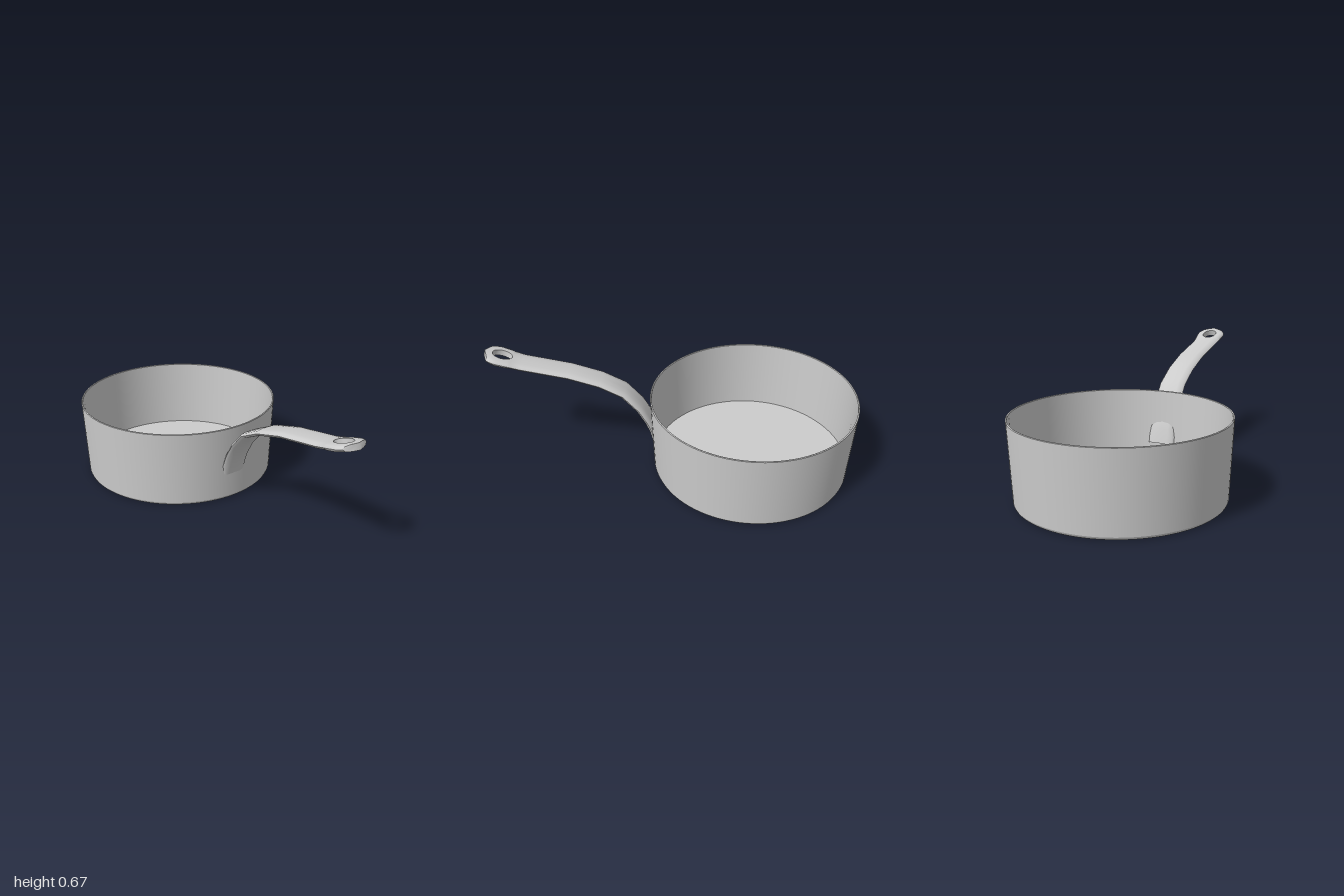
import * as THREE from 'three';
import { toCreasedNormals } from 'three/addons/utils/BufferGeometryUtils.js';

const steel = new THREE.MeshStandardMaterial({ color: 0xcccccc });
steel.name = 'steel';

const PAN_Z = -0.44;

function lathePart(name, points) {
  const geometry = new THREE.LatheGeometry(points.map(([r, y]) => new THREE.Vector2(r, y)), 96);
  const mesh = new THREE.Mesh(geometry, steel);
  mesh.name = name;
  mesh.position.z = PAN_Z;
  return mesh;
}

// Stations along the handle: z, y, inner and outer half width, and how far the edges fall back
function handleRows() {
  const rows = [
    [0.085, 0.135], [0.106, 0.215], [0.13, 0.275], [0.177, 0.355],
    [0.262, 0.447], [0.385, 0.508], [0.55, 0.556], [0.8, 0.6],
  ].map(([z, y]) => ({ z, y, xi: 0, xo: 0.075, back: 0 }));
  const straightY = (z) => 0.6 + 0.28 * (z - 0.8);

  // The hanging hole opens and closes over these stations
  const steps = 12;
  for (let i = 0; i <= steps; i++) {
    const a = (Math.PI * i) / steps;
    const z = 0.908 - 0.052 * Math.cos(a);
    const xo = z < 0.93 ? 0.075 + (0.01 * (z - 0.8)) / 0.13 : 0.085 - 0.2 * (z - 0.93);
    const xi = i % steps === 0 ? 0 : 0.04 * Math.sin(a);
    rows.push({ z, y: straightY(z), xi, xo, back: 0 });
  }
  // Pointed tip
  rows.push({ z: 1, y: 0.656, xi: 0, xo: 0.073, back: 0.032 });
  return rows;
}

function handleGeometry() {
  const rows = handleRows();
  // Half section: fraction across the width, height above the centre line
  const section = [[0, 0.017], [0.5, 0.016], [0.86, 0.012], [1, 0], [0.86, -0.012], [0.5, -0.016], [0, -0.017]];
  const n = section.length;
  const positions = [];
  const index = [];

  for (const side of [1, -1]) {
    const base = positions.length / 3;
    const tri = (a, b, c) => index.push(base + a, base + (side > 0 ? b : c), base + (side > 0 ? c : b));

    rows.forEach((row, i) => {
      const p = rows[Math.max(i - 1, 0)];
      const q = rows[Math.min(i + 1, rows.length - 1)];
      const length = Math.hypot(q.z - p.z, q.y - p.y);
      const tz = (q.z - p.z) / length;
      const ty = (q.y - p.y) / length;
      for (const [f, h] of section) {
        const x = row.xi + (row.xo - row.xi) * f;
        positions.push(side * x, row.y + tz * h - ty * row.back * f, row.z - ty * h - tz * row.back * f);
      }
    });

    for (let i = 0; i < rows.length - 1; i++) {
      const open = rows[i].xi > 0 || rows[i + 1].xi > 0;
      // The last strip is the wall of the hole
      for (let j = 0; j < (open ? n : n - 1); j++) {
        const k = (j + 1) % n;
        const a = i * n + j, b = i * n + k, c = a + n, d = b + n;
        tri(a, c, b);
        tri(b, c, d);
      }
    }

    // End caps
    const last = (rows.length - 1) * n;
    for (let j = 1; j < n - 1; j++) {
      tri(0, j, j + 1);
      tri(last, last + j + 1, last + j);
    }
  }

  const geometry = new THREE.BufferGeometry();
  geometry.setAttribute('position', new THREE.Float32BufferAttribute(positions, 3));
  geometry.setIndex(index);
  return toCreasedNormals(geometry, 0.9);
}

export function createModel() {
  const group = new THREE.Group();
  group.name = 'saucepan';

  // Pan: tapered wall with a rounded base edge, thin rim and flat floor
  group.add(
    lathePart('base', [[0, 0], [0.522, 0]]),
    lathePart('baseEdge', [[0.522, 0], [0.531, 0.002], [0.537, 0.007], [0.541, 0.017]]),
    lathePart('outerWall', [[0.541, 0.017], [0.56, 0.43]]),
    lathePart('rim', [[0.56, 0.43], [0.558, 0.433], [0.554, 0.433], [0.552, 0.43]]),
    lathePart('innerWall', [[0.552, 0.43], [0.535, 0.035]]),
    lathePart('floor', [[0.535, 0.035], [0, 0.035]]),
  );

  // Handle, passing through the wall
  const handle = new THREE.Mesh(handleGeometry(), steel);
  handle.name = 'handle';
  group.add(handle);
  return group;
}
